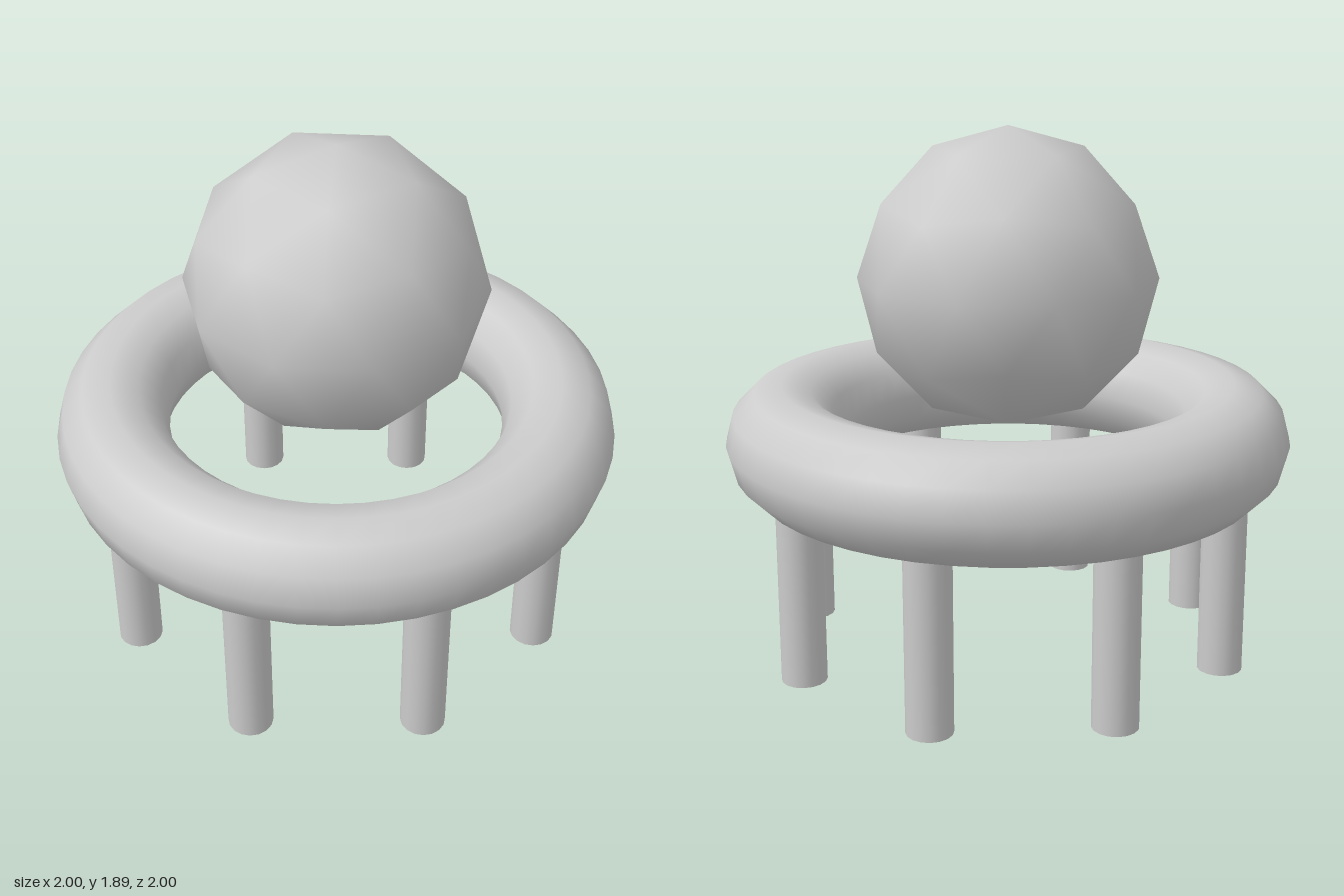
import * as THREE from 'three';

const LEG_COUNT = 8;

export function createModel() {
  const model = new THREE.Group();
  const material = new THREE.MeshStandardMaterial({ color: 0xcccccc });

  const add = (name, geometry, x, y, z) => {
    const mesh = new THREE.Mesh(geometry, material);
    mesh.name = name;
    mesh.position.set(x, y, z);
    model.add(mesh);
  };

  // Ring lying flat on the legs
  add('ring', new THREE.TorusGeometry(0.8, 0.2, 12, 48).rotateX(Math.PI / 2), 0, 0.8, 0);

  // Faceted ball with smooth normals, one corner pointing straight up
  const ball = new THREE.IcosahedronGeometry(0.53, 1);
  ball.rotateX(-Math.atan((1 + Math.sqrt(5)) / 2)).rotateY(Math.PI / 2);
  add('ball', ball, 0, 1.36, 0);

  // Round legs, their tops sunk into the ring
  const leg = new THREE.CylinderGeometry(0.08, 0.08, 0.7, 16);
  for (let i = 0; i < LEG_COUNT; i++) {
    const a = (i / LEG_COUNT) * Math.PI * 2;
    add('leg', leg, 0.795 * Math.cos(a), 0.35, 0.795 * Math.sin(a));
  }

  return model;
}
